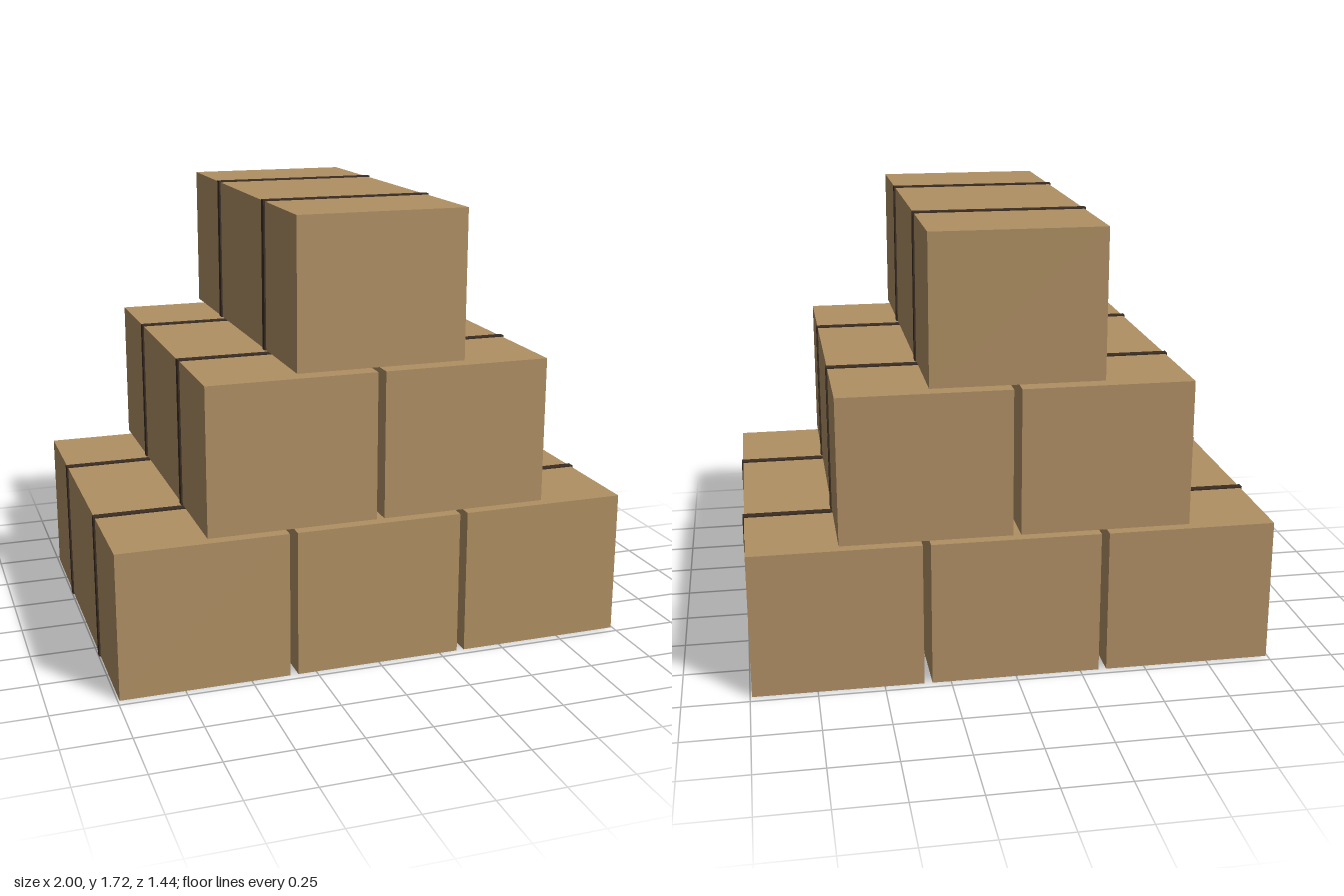
import * as THREE from 'three';

export function createModel() {
  const model = new THREE.Group();
  model.name = 'stackedCrates';

  const cardboard = new THREE.MeshStandardMaterial({ color: 0xb19064 });
  cardboard.name = 'tan cardboard';
  const strapping = new THREE.MeshStandardMaterial({ color: 0x3a2c22 });
  strapping.name = 'dark brown strap';

  const W = 0.642, H = 0.559, D = 1.438; // crate size
  const T = 0.006;                       // strap thickness
  const stepX = 0.672, stepY = 0.577;    // spacing in the stack

  const crateGeometry = new THREE.BoxGeometry(W, H, D).translate(0, H / 2 + 0.001, 0);
  const strapGeometry = new THREE.BoxGeometry(W + 2 * T, H + T, 0.03).translate(0, (H + T) / 2, 0);

  // One crate bound by two straps
  function strappedCrate() {
    const group = new THREE.Group();
    group.name = 'strappedCrate';
    const crate = new THREE.Mesh(crateGeometry, cardboard);
    crate.name = 'crate';
    group.add(crate);
    for (const side of [1, -1]) {
      const strap = new THREE.Mesh(strapGeometry, strapping);
      strap.name = side > 0 ? 'frontStrap' : 'backStrap';
      strap.position.z = side * 0.32;
      group.add(strap);
    }
    return group;
  }

  // Pyramid of three, two and one
  for (let row = 0; row < 3; row++) {
    const count = 3 - row;
    for (let i = 0; i < count; i++) {
      const crate = strappedCrate();
      crate.position.set((i - (count - 1) / 2) * stepX, row * stepY, 0);
      model.add(crate);
    }
  }
  return model;
}
